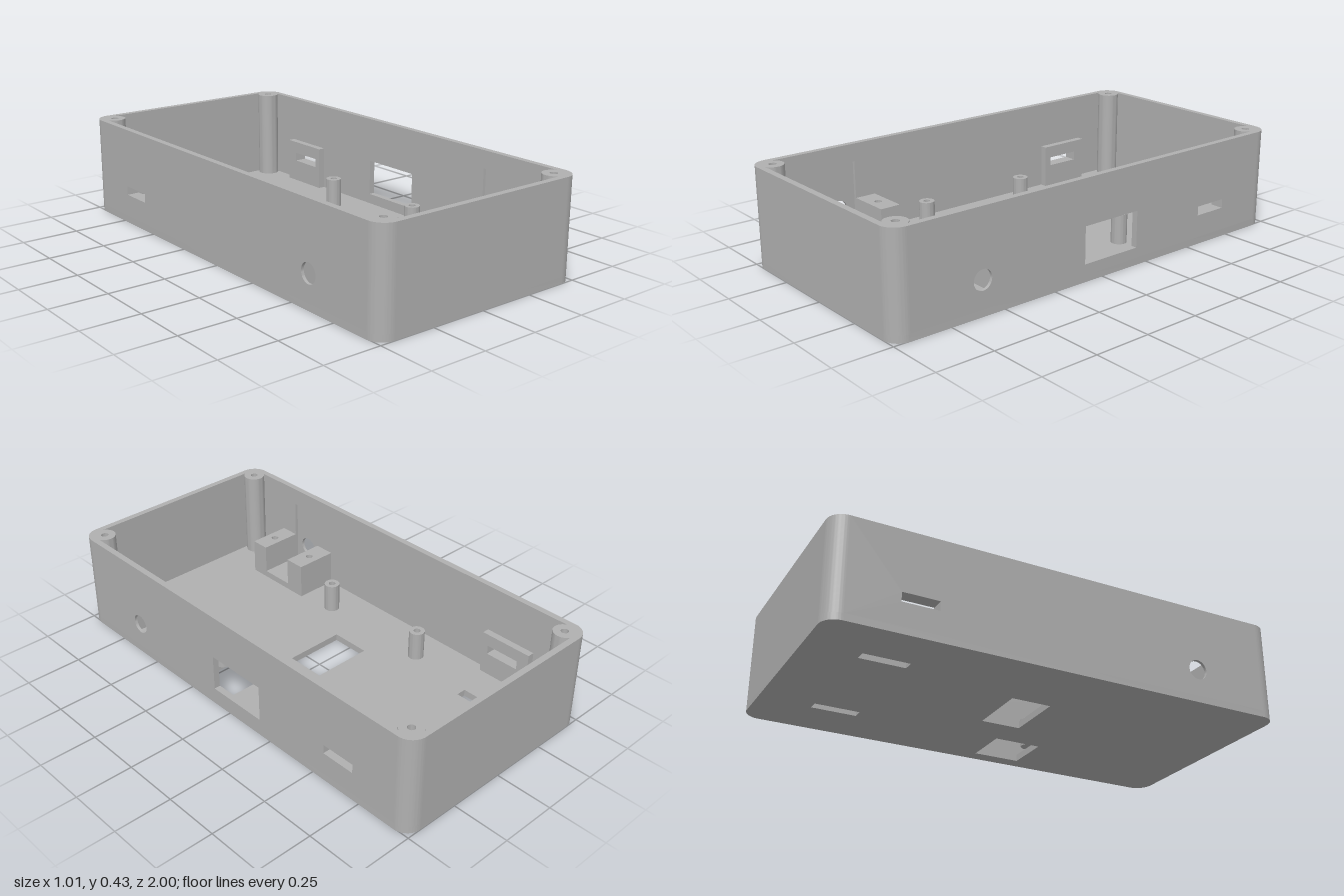
import * as THREE from 'three';
import { toCreasedNormals } from 'three/addons/utils/BufferGeometryUtils.js';

const X = 0.505, Z = 1, H = 0.433;   // outer half sizes and height
const R = 0.07, T = 0.027;           // corner radius and wall thickness
const FLOOR = 0.03;
const SLOT = [-0.715, 0.13, -0.56, 0.17];   // z0, y0, z1, y1
const WINDOW = [-0.19, 0.075, 0.095, 0.235];
const POCKET = [0.525, 0.06, 0.68, 0.355];

function rect(a0, b0, a1, b1, Type = THREE.Shape) {
  const s = new Type();
  s.moveTo(a0, b0);
  s.lineTo(a1, b0);
  s.lineTo(a1, b1);
  s.lineTo(a0, b1);
  s.closePath();
  return s;
}

function circle(a, b, r) {
  const p = new THREE.Path();
  p.absarc(a, b, r, 0, Math.PI * 2, true);
  return p;
}

function extrude(shape, depth) {
  return toCreasedNormals(
    new THREE.ExtrudeGeometry(shape, { depth, bevelEnabled: false, curveSegments: 16 }), 0.5);
}

// Horizontal slab: the shape lies in x and z
function slab(shape, y0, y1) {
  return extrude(shape, y1 - y0).rotateX(Math.PI / 2).translate(0, y1, 0);
}

// Upright panel facing x: the shape lies in -z and y
function panel(shape, x0, x1) {
  return extrude(shape, x1 - x0).rotateY(Math.PI / 2).translate(x0, 0, 0);
}
const sideRect = ([z0, y0, z1, y1], Type) => rect(-z1, y0, -z0, y1, Type);

// Round post with a blind screw hole in its top
function postGeometry(r, hole, y0, y1, depth) {
  const profile = [[0, y0], [r, y0], [r, y1], [hole, y1], [hole, y1 - depth], [0, y1 - depth]]
    .map(([a, b]) => new THREE.Vector2(a, b));
  return toCreasedNormals(new THREE.LatheGeometry(profile, 40), 0.5);
}

export function createModel() {
  const model = new THREE.Group();
  model.name = 'enclosureBase';
  const grey = new THREE.MeshStandardMaterial({ color: 0xb0b0b0 });
  grey.name = 'grey';
  const add = (name, geometry) => {
    const mesh = new THREE.Mesh(geometry, grey);
    mesh.name = name;
    model.add(mesh);
    return mesh;
  };

  // Floor with rounded corners and cutouts
  const floor = new THREE.Shape();
  const cx = X - R, cz = Z - R;
  floor.absarc(cx, cz, R, 0, Math.PI / 2);
  floor.absarc(-cx, cz, R, Math.PI / 2, Math.PI);
  floor.absarc(-cx, -cz, R, Math.PI, Math.PI * 1.5);
  floor.absarc(cx, -cz, R, Math.PI * 1.5, Math.PI * 2);
  floor.closePath();
  for (const c of [
    [-0.185, -0.09, 0.085, 0.085],
    [0.235, 0.055, 0.44, 0.265],
    [-0.29, -0.775, -0.245, -0.58],
    [0.24, -0.775, 0.285, -0.58],
  ]) floor.holes.push(rect(...c, THREE.Path));
  add('floor', slab(floor, 0, FLOOR));

  // Front and back walls
  for (const s of [1, -1]) {
    const wall = new THREE.BoxGeometry(2 * cx, H - FLOOR, T);
    wall.translate(0, (H + FLOOR) / 2, s * (Z - T / 2));
    add(s > 0 ? 'frontWall' : 'backWall', wall);
  }

  for (const s of [1, -1]) {
    const side = s > 0 ? 'left' : 'right';
    const span = (a, b) => [Math.min(s * a, s * b), Math.max(s * a, s * b)];

    // Side wall: outer skin with the ports, inner skin with a pocket round the jack
    const skins = [[X, X - 0.013], [X - 0.013, X - T]];
    skins.forEach(([a, b], i) => {
      const wall = sideRect([-cz, FLOOR, cz, H]);
      wall.holes.push(sideRect(SLOT, THREE.Path));
      wall.holes.push(i === 0 ? circle(-0.605, 0.147, 0.043) : sideRect(POCKET, THREE.Path));
      if (s > 0) wall.holes.push(sideRect(WINDOW, THREE.Path));
      add(side + (i === 0 ? 'WallOuter' : 'WallInner'), panel(wall, ...span(a, b)));
    });

    // Slotted bracket against the wall
    const bracket = sideRect([-0.77, FLOOR, -0.53, 0.225]);
    bracket.holes.push(sideRect(SLOT, THREE.Path));
    add(side + 'Bracket', panel(bracket, ...span(X - T, 0.447)));

    // U-shaped jack cradle with screw holes
    const [x0, x1] = span(0.285, X - T);
    add(side + 'CradleBase', slab(rect(x0, 0.43, x1, 0.765), FLOOR, 0.06));
    for (const [z0, z1, zh] of [[0.43, 0.525, 0.477], [0.68, 0.765, 0.722]]) {
      const block = rect(x0, z0, x1, z1);
      block.holes.push(circle(s * 0.38, zh, 0.016));
      add(side + 'CradleBlock', slab(block, 0.06, 0.19));
    }

    for (const e of [1, -1]) {
      // Rounded wall corner
      const corner = new THREE.Shape();
      corner.absarc(0, 0, R, 0, Math.PI / 2, false);
      corner.absarc(0, 0, R - T, Math.PI / 2, 0, true);
      corner.closePath();
      const turn = s > 0 ? (e > 0 ? 0 : 1) : (e > 0 ? 3 : 2);
      const geo = slab(corner, FLOOR, H).rotateY(turn * Math.PI / 2).translate(s * cx, 0, e * cz);
      add('wallCorner', geo);

      // Corner screw post
      add('cornerPost', postGeometry(0.048, 0.016, FLOOR, H, 0.2)).position.set(s * cx, 0, e * cz);

      // Board standoff
      add('standoff', postGeometry(0.034, 0.015, FLOOR, 0.16, 0.1))
        .position.set(s * 0.325, 0, e > 0 ? 0.263 : -0.268);
    }
  }
  return model;
}
